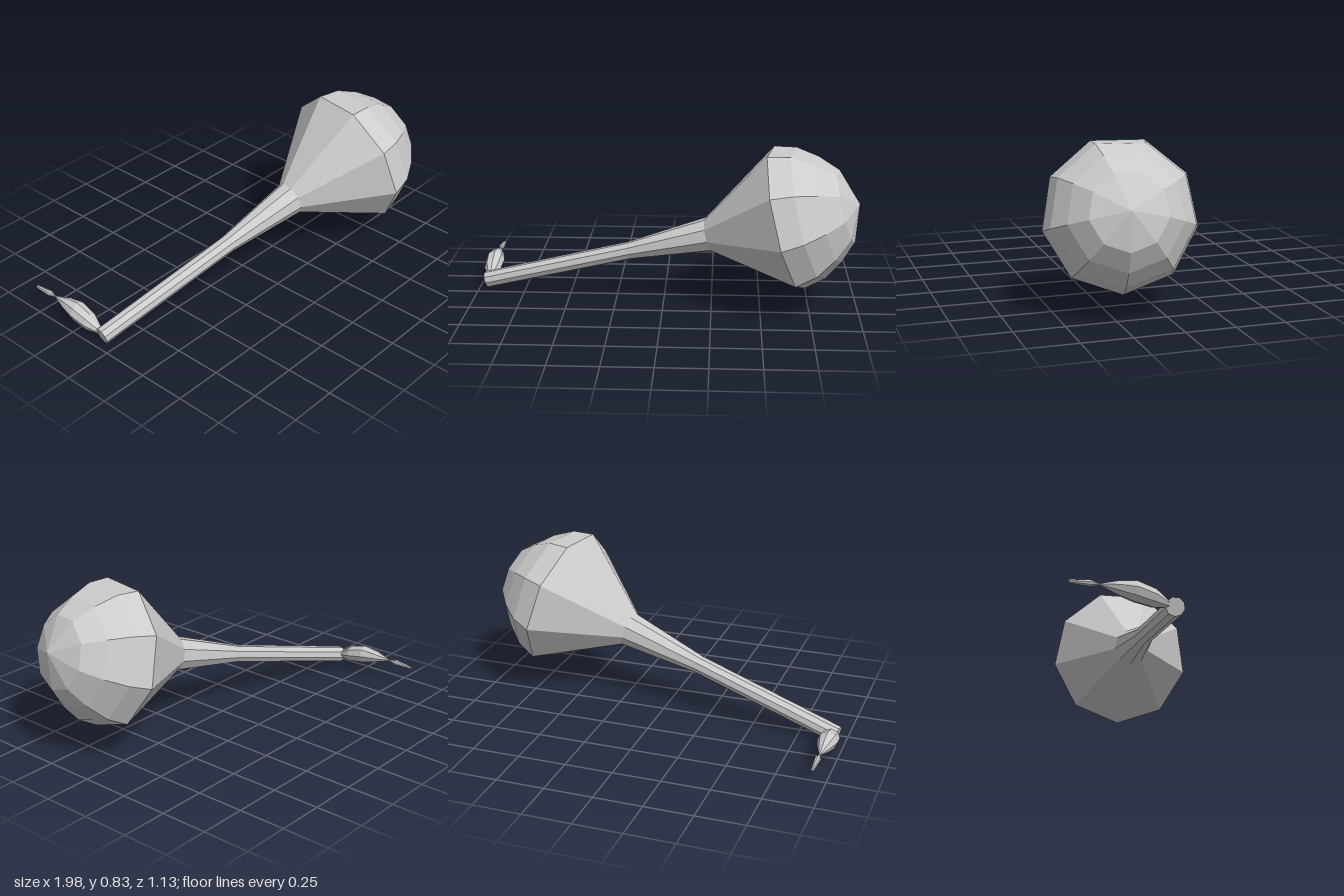
import * as THREE from 'three';

const material = new THREE.MeshStandardMaterial({ color: 0xcccccc, flatShading: true });

// Faceted solid of revolution from [radius, height] pairs
function turned(name, profile, sides) {
  const points = profile.map(([r, h]) => new THREE.Vector2(r, h));
  const mesh = new THREE.Mesh(new THREE.LatheGeometry(points, sides), material);
  mesh.name = name;
  return mesh;
}

export function createModel() {
  const model = new THREE.Group();
  model.name = 'gourdRattle';

  // Handle and head share one tilted axis, with one corner pointing down
  const body = new THREE.Group();
  body.name = 'body';
  const axis = new THREE.Vector3(0.951, 0.264, 0.162).normalize();
  const down = new THREE.Vector3(0, -1, 0).projectOnPlane(axis).normalize();
  const side = new THREE.Vector3().crossVectors(axis, down);
  body.quaternion.setFromRotationMatrix(new THREE.Matrix4().makeBasis(side, axis, down));
  body.position.set(-0.96, 0.045, -0.075);
  model.add(body);

  body.add(turned('handle', [
    [0, 0], [0.045, 0], [0.047, 0.82], [0.091, 1.257],
  ], 9));
  body.add(turned('gourdHead', [
    [0.091, 1.257], [0.377, 1.673], [0.347, 1.785],
    [0.277, 1.888], [0.187, 1.978], [0, 2.045],
  ], 9));

  // Tassel: radius, distance behind the handle, and height of each section
  const sections = [
    [0, 0.1, 0.055], [0.018, 0.105, 0.058], [0.045, 0.17, 0.078],
    [0.051, 0.26, 0.098], [0.034, 0.34, 0.104], [0.004, 0.428, 0.106],
    [0.016, 0.47, 0.105], [0.009, 0.568, 0.1], [0, 0.568, 0.1],
  ];
  const tassel = turned('tassel', sections.map(([r, d]) => [r, d]), 8);
  tassel.geometry.rotateX(-Math.PI / 2);
  // Bend the tassel by lifting each section to its own height
  const pos = tassel.geometry.attributes.position;
  for (let i = 0; i < pos.count; i++) {
    pos.setY(i, pos.getY(i) + sections[i % sections.length][2]);
  }
  tassel.geometry.computeVertexNormals();
  tassel.position.x = -0.947;
  model.add(tassel);

  return model;
}
